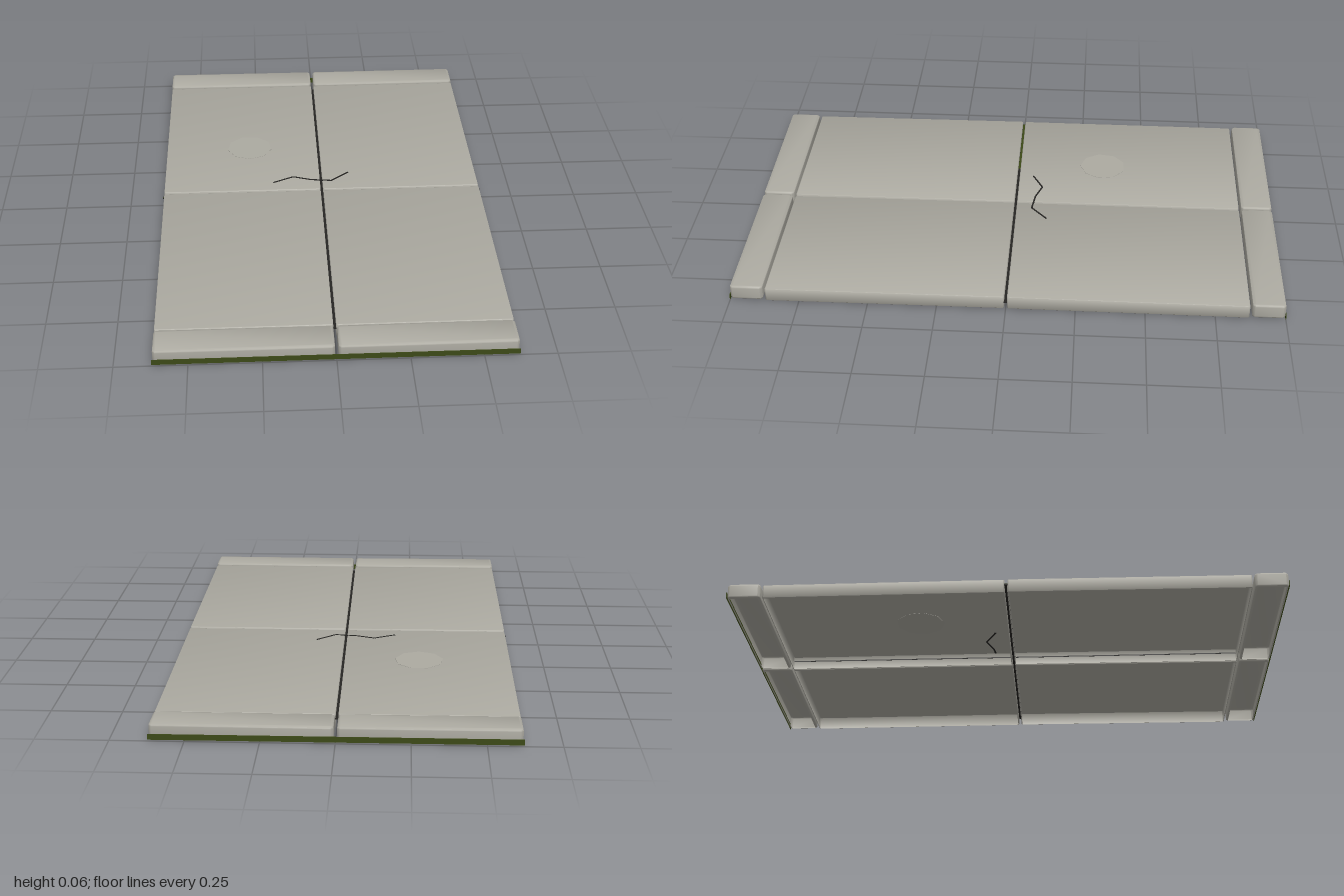
import * as THREE from 'three';
import { toCreasedNormals } from 'three/addons/utils/BufferGeometryUtils.js';

const mat = (name, color, side = THREE.FrontSide) => {
  const m = new THREE.MeshStandardMaterial({ color, side });
  m.name = name;
  return m;
};

// Rounded-edge block, hollow and open underneath, centred on the origin
function shell(w, h, d, b) {
  const x = w / 2 - b, z = d / 2 - b, c = b * 0.5;
  const outline = new THREE.Shape([
    [-x + c, -z], [x - c, -z], [x, -z + c], [x, z - c],
    [x - c, z], [-x + c, z], [-x, z - c], [-x, -z + c],
  ].map(([px, pz]) => new THREE.Vector2(px, pz)));
  const g = new THREE.ExtrudeGeometry(outline, {
    depth: h - 2 * b, bevelEnabled: true, bevelSize: b, bevelThickness: b, bevelSegments: 3,
  });
  g.rotateX(-Math.PI / 2);
  g.translate(0, b - h / 2, 0);

  // Drop the bottom cap
  const p = g.attributes.position, kept = [];
  for (let i = 0; i < p.count; i += 3) {
    const top = Math.max(p.getY(i), p.getY(i + 1), p.getY(i + 2));
    if (top < -h / 2 + 1e-5) continue;
    for (let k = i; k < i + 3; k++) kept.push(p.getX(k), p.getY(k), p.getZ(k));
  }
  const open = new THREE.BufferGeometry();
  open.setAttribute('position', new THREE.Float32BufferAttribute(kept, 3));
  return toCreasedNormals(open, 0.8);
}

export function createModel() {
  const group = new THREE.Group();
  const concrete = mat('concrete', 0xacaaa1, THREE.DoubleSide);
  const tar = mat('jointTar', 0x262523);
  const moss = mat('moss', 0x3c4917);

  const add = (name, geo, material, x, y, z, parent = group) => {
    const m = new THREE.Mesh(geo, material);
    m.name = name;
    m.position.set(x, y, z);
    parent.add(m);
    return m;
  };
  const box = (w, h, d) => new THREE.BoxGeometry(w, h, d);

  const slabGeo = shell(0.612, 0.052, 0.866, 0.004);
  const curbGeo = shell(0.612, 0.056, 0.118, 0.008);

  for (const sx of [-1, 1]) {
    for (const sz of [-1, 1]) {
      // Paving slabs, each settled at a slight tilt
      const slab = add('slab', slabGeo, concrete, sx * 0.311, 0.0335, sz * 0.438);
      slab.rotation.set(sz > 0 ? 0.004 : -0.002, 0, sx * 0.001);

      // Faint round repair patch on one slab
      if (sx < 0 && sz < 0) {
        add('patch', new THREE.CylinderGeometry(0.09, 0.09, 0.002, 9), concrete, 0.03, 0.0262, 0.1, slab);
      }

      // End curbs
      const curb = add('curb', curbGeo, concrete, sx * 0.312, 0.0365, sz * 0.939);
      curb.rotation.z = sx * 0.002;
    }
    // Moss strip along each end
    add('endMoss', box(1.244, 0.02, 0.002), moss, 0, 0.02, sx * 0.999);
  }

  // Thin strips of tar lying in the joints between the slabs
  add('lengthJoint', box(0.012, 0.004, 1.74), tar, 0, 0.04, 0);
  add('crossJoint', box(1.244, 0.004, 0.012), tar, 0, 0.04, 0);
  add('jointMoss', box(0.35, 0.004, 0.009), moss, -0.445, 0.042, 0);

  // Crack wandering over the middle
  const crack = [[-0.19, -0.06], [-0.11, -0.1], [-0.04, -0.075], [0.04, -0.065], [0.11, -0.125]];
  for (let i = 1; i < crack.length; i++) {
    const [x0, z0] = crack[i - 1], [x1, z1] = crack[i];
    const seg = add('crack', box(Math.hypot(x1 - x0, z1 - z0), 0.004, 0.006), tar,
      (x0 + x1) / 2, 0.0595, (z0 + z1) / 2);
    seg.rotation.y = -Math.atan2(z1 - z0, x1 - x0);
  }

  return group;
}
